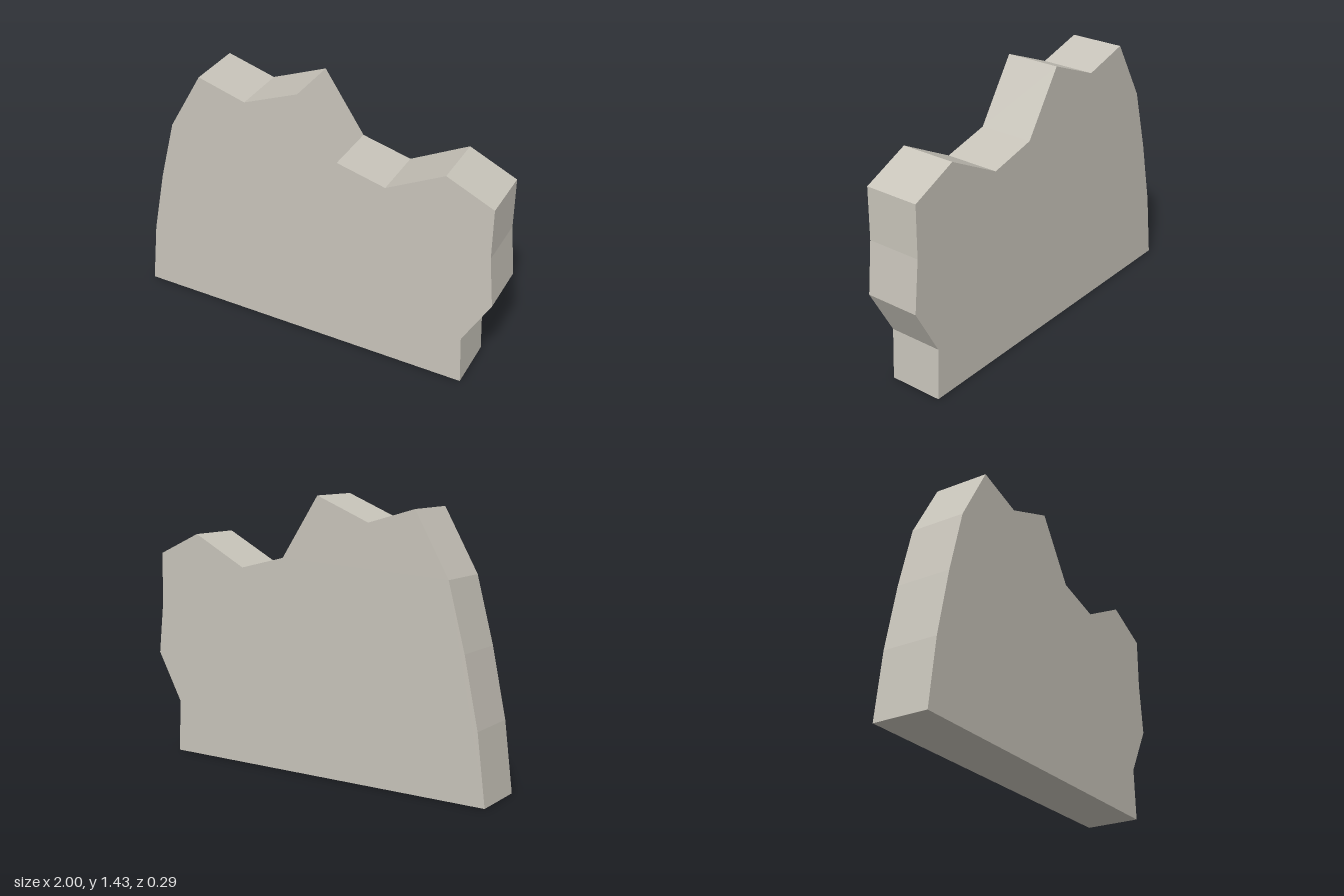
import * as THREE from 'three';

export function createModel() {
  const group = new THREE.Group();
  group.name = 'brokenWall';

  const stone = new THREE.MeshStandardMaterial({ color: 0xc8c4ba });
  stone.name = 'pale stone';

  // Jagged outline, anticlockwise from the bottom left corner
  const outline = [
    [-1, 0], [0.872, 0], [0.858, 0.277], [1, 0.538], [0.97, 0.815], [0.967, 1.088],
    [0.72, 1.202], [0.417, 1.043], [0.158, 1.108], [-0.055, 1.428], [-0.35, 1.307],
    [-0.607, 1.381], [-0.79, 1.06], [-0.88, 0.72], [-0.955, 0.362],
  ].map(([x, y]) => new THREE.Vector2(x, y));

  // Straight slab, centred on z = 0
  const depth = 0.294;
  const geometry = new THREE.ExtrudeGeometry(new THREE.Shape(outline), { depth, bevelEnabled: false });
  geometry.translate(0, 0, -depth / 2);

  const slab = new THREE.Mesh(geometry, stone);
  slab.name = 'wallSlab';
  group.add(slab);
  return group;
}
